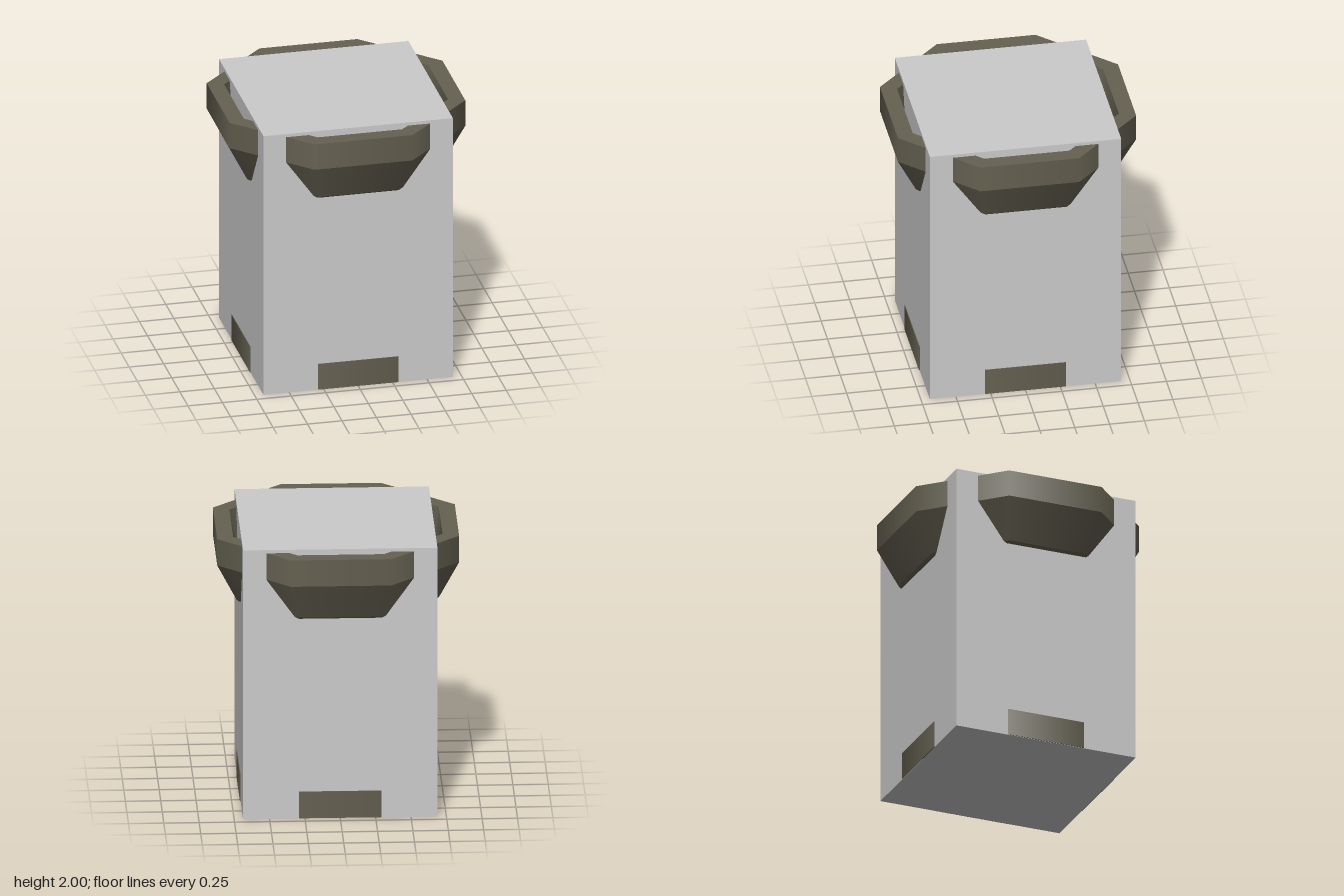
import * as THREE from 'three';
import { mergeGeometries } from 'three/addons/utils/BufferGeometryUtils.js';

const FLAT = 1 / Math.cos(Math.PI / 8); // flat-to-corner ratio of an octagon

// Octagonal shell: each profile segment is its own band, smooth around and creased between bands
function octagonShell(profile) {
  const points = profile.map(([r, y]) => new THREE.Vector2(r * FLAT, y));
  const bands = [];
  for (let i = 0; i < points.length - 1; i++) {
    bands.push(new THREE.LatheGeometry([points[i], points[i + 1]], 8, Math.PI / 8));
  }
  return mergeGeometries(bands);
}

export function createModel() {
  const grey = new THREE.MeshStandardMaterial({ color: 0xcacaca });
  grey.name = 'light grey';
  const olive = new THREE.MeshStandardMaterial({ color: 0x656151 });
  olive.name = 'dark olive';

  const group = new THREE.Group();
  const add = (name, geometry, material) => {
    const mesh = new THREE.Mesh(geometry, material);
    mesh.name = name;
    group.add(mesh);
  };

  // Square block
  const block = new THREE.BoxGeometry(1.374, 2, 1.374);
  block.translate(0, 1, 0);
  add('block', block, grey);

  // Flared octagonal collar: underside, outer wall, rim and inner wall
  add('collar', octagonShell([
    [0.6, 1.49], [0.7, 1.49], [0.715, 1.503], [0.855, 1.78],
    [0.855, 1.976], [0.74, 1.976], [0.66, 1.6],
  ]), olive);

  // Octagonal foot, just proud of the block's sides
  add('foot', octagonShell([[0.6, 0.002], [0.692, 0.002], [0.692, 0.2], [0.6, 0.2]]), olive);

  return group;
}
